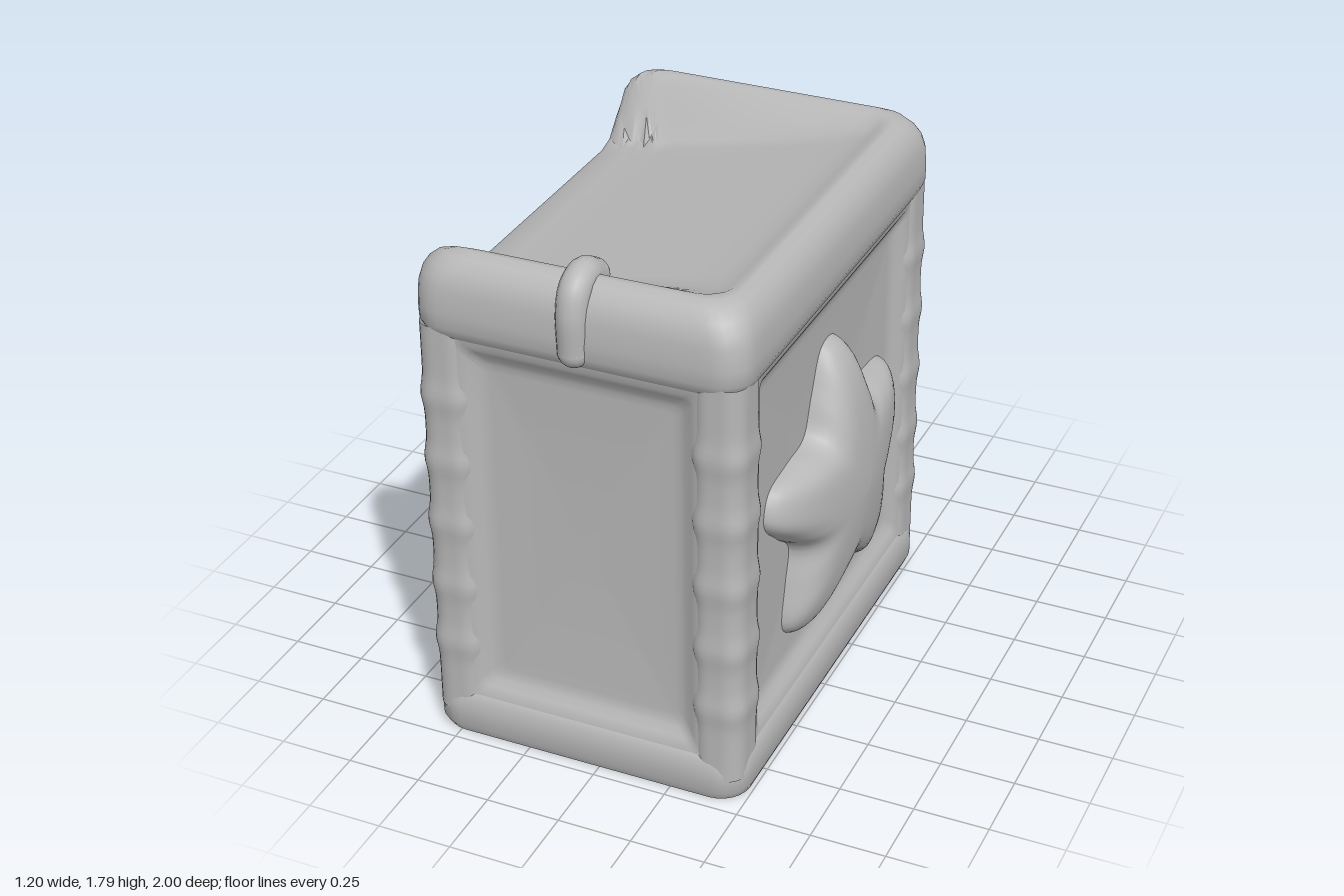
import * as THREE from 'three';
import { toCreasedNormals } from 'three/addons/utils/BufferGeometryUtils.js';

const CX = -0.05, CZ = 0.16, HX = 0.55, HZ = 0.81; // centre and half size of the box

// Rounded rectangles [y, halfX, halfZ, cornerRadius] skinned from bottom to top
function loft(cx, cz, rings, edgeSteps, rule) {
  const pos = [], idx = [];
  let n = 0;
  for (const [y, hx, hz, radius] of rings) {
    const r = Math.min(radius, hx, hz), loop = [];
    for (let q = 0; q < 4; q++) {
      const sx = q === 0 || q === 3 ? 1 : -1, sz = q < 2 ? 1 : -1;
      for (let k = 0; k <= 6; k++) {
        const a = (q + k / 6) * Math.PI / 2;
        loop.push([cx + sx * (hx - r) + r * Math.cos(a), cz + sz * (hz - r) + r * Math.sin(a)]);
      }
      // straight run to the next corner
      const last = loop[loop.length - 1];
      const next = q % 2 === 0 ? [cx - sx * (hx - r), last[1]] : [last[0], cz - sz * (hz - r)];
      for (let k = 1; k < edgeSteps; k++) {
        const t = k / edgeSteps;
        loop.push([last[0] + (next[0] - last[0]) * t, last[1] + (next[1] - last[1]) * t]);
      }
    }
    n = loop.length;
    for (const [x, z] of loop) pos.push(x, rule ? rule(x, y, z) : y, z);
  }
  for (let j = 0; j < rings.length - 1; j++) {
    for (let i = 0; i < n; i++) {
      const a = j * n + i, b = j * n + (i + 1) % n;
      idx.push(a, a + n, b, b, a + n, b + n);
    }
  }
  const g = new THREE.BufferGeometry();
  g.setAttribute('position', new THREE.Float32BufferAttribute(pos, 3));
  g.setIndex(idx);
  return toCreasedNormals(g, 0.85);
}

const inset = (y, d) => [y, HX - d, HZ - d, 0.1];
const scaled = (y, k) => [y, 0.42 * k, 0.68 * k, 0.06 * k];

// Sunk panel with a soft sloping border, facing up before it is turned
const dish = (hx, hz) => loft(0, 0, [
  ...[[-0.018, 0], [-0.022, 0.03], [-0.034, 0.05], [-0.05, 0.075], [-0.058, 0.095], [-0.06, 0.12]]
    .map(([y, d]) => [y, hx - d, hz - d, 0.03]),
  [-0.06, 0, 0, 0],
], 8);

// Lid: sinks towards the open left edge, full height at the front and back bands
function lidRule(x, y, z) {
  if (y < 1.48) return y;
  const t = THREE.MathUtils.clamp((0.42 - x) / 1.02, 0, 1) ** 0.9;
  const w = THREE.MathUtils.smoothstep(Math.min(0.97 - z, z + 0.65), 0.09, 0.26);
  return 1.48 + (y - 1.48) * (1 - 0.88 * t * w);
}

// Puffy five-pointed star lying on the +x panel
function starGeometry() {
  const outline = [];
  for (let i = 0; i < 5; i++) {
    const a = Math.PI / 2 + i * Math.PI * 2 / 5;
    for (const [da, r] of [[-0.1, 0.51], [0.1, 0.51], [0.33, 0.39], [Math.PI / 5, 0.31], [0.93, 0.39]]) {
      outline.push(new THREE.Vector3(0, r * Math.sin(a + da), -r * Math.cos(a + da) * 1.02));
    }
  }
  const pts = new THREE.CatmullRomCurve3(outline, true).getPoints(120).slice(0, 120);
  const n = pts.length, rows = 14, pos = [], idx = [];
  for (let j = 0; j <= rows; j++) {
    const s = Math.sin(j / rows * Math.PI / 2);
    for (const p of pts) {
      const r = p.length() * s;
      const top = 0.6 - 0.23 * Math.pow(r, 1.6);
      const h = (top - 0.43) * Math.sqrt(Math.max(0, 1 - Math.pow(s, 7)));
      pos.push(0.43 + h, 0.75 + p.y * s, 0.15 + p.z * s);
    }
  }
  for (let j = 0; j < rows; j++) {
    for (let i = 0; i < n; i++) {
      const a = j * n + i, b = j * n + (i + 1) % n;
      idx.push(a, a + n, b, b, a + n, b + n);
    }
  }
  const g = new THREE.BufferGeometry();
  g.setAttribute('position', new THREE.Float32BufferAttribute(pos, 3));
  g.setIndex(idx);
  g.computeVertexNormals();
  return g;
}

const path = (...p) => new THREE.CatmullRomCurve3(p.map(v => new THREE.Vector3(...v)));
const lathe = (...p) => new THREE.LatheGeometry(
  new THREE.SplineCurve(p.map(v => new THREE.Vector2(...v))).getPoints(28)
    .map(v => new THREE.Vector2(Math.max(0, v.x), v.y)), 32);

export function createModel() {
  const model = new THREE.Group();
  model.name = 'crankBox';
  const grey = new THREE.MeshStandardMaterial({ color: 0xb8b8b8, side: THREE.DoubleSide });
  grey.name = 'grey';
  function add(name, geometry, x = 0, y = 0, z = 0) {
    const m = new THREE.Mesh(geometry, grey);
    m.name = name;
    m.position.set(x, y, z);
    model.add(m);
    return m;
  }

  // Sunk panels on all four sides
  for (const s of [1, -1]) {
    add(s > 0 ? 'frontPanel' : 'backPanel', dish(0.42, 0.67), CX, 0.81, CZ + s * HZ).rotation.x = s * Math.PI / 2;
    add(s > 0 ? 'rightPanel' : 'leftPanel', dish(0.67, 0.66), CX + s * HX, 0.81, CZ).rotation.z = -s * Math.PI / 2;
  }

  // Bottom rim
  add('baseRim', loft(CX, CZ, [
    [0, 0, 0, 0], inset(0, 0.015), inset(0.03, 0.002), inset(0.1, 0.002), inset(0.135, 0.01),
    inset(0.16, 0.023), inset(0.175, 0.045), inset(0.185, 0.09),
  ], 8));

  // Corner posts with a row of soft studs
  const postRings = [];
  for (let i = 0; i <= 60; i++) {
    const y = 0.08 + 1.42 * i / 60;
    let bump = 0;
    for (const s of [0.34, 0.56, 0.79, 1.02, 1.25]) bump += Math.exp(-(((y - s) / 0.045) ** 2));
    const h = 0.084 + 0.007 * bump;
    postRings.push([y, h, h + 0.01, 0.06]);
  }
  for (const sx of [-1, 1]) {
    for (const sz of [-1, 1]) {
      add('cornerPost', loft(CX + sx * 0.455, CZ + sz * 0.706, postRings, 4));
    }
  }

  // Upper band and sagging lid in one skin
  add('lid', loft(CX, CZ, [
    inset(1.43, 0.1), inset(1.445, 0.05), inset(1.46, 0.028), inset(1.48, 0.012), inset(1.51, 0.001),
    inset(1.56, 0), inset(1.63, 0.004), inset(1.67, 0.014), inset(1.7, 0.03), inset(1.73, 0.056),
    inset(1.745, 0.085), inset(1.748, 0.108), scaled(1.742, 1), scaled(1.737, 0.92), scaled(1.735, 0.83),
    scaled(1.735, 0.74), scaled(1.735, 0.62), scaled(1.735, 0.45), scaled(1.735, 0.25), scaled(1.735, 0),
  ], 24, lidRule));

  // Clasp running over the front edge
  const clasp = [[-0.05, 1.52, 0.945], [-0.05, 1.65, 0.948], [-0.05, 1.715, 0.925], [-0.05, 1.738, 0.87], [-0.05, 1.71, 0.81]];
  add('clasp', new THREE.TubeGeometry(path(...clasp), 30, 0.052, 16));
  for (const p of [clasp[0], clasp[4]]) add('claspEnd', new THREE.SphereGeometry(0.052, 20, 14), ...p);

  add('star', starGeometry());

  // Crank: flared mount, bent rod and teardrop knob
  const mount = add('crankMount', lathe([0.13, 0], [0.09, 0.018], [0.05, 0.045], [0.025, 0.065], [0, 0.07]), 0.07, 0.78, -0.592);
  mount.rotation.x = -Math.PI / 2;
  add('crankRod', new THREE.TubeGeometry(path(
    [0.07, 0.785, -0.6], [0.07, 0.78, -0.67], [0.07, 0.75, -0.72], [0.075, 0.65, -0.73],
    [0.075, 0.5, -0.73], [0.055, 0.45, -0.73], [-0.01, 0.44, -0.715], [-0.05, 0.44, -0.73],
  ), 48, 0.016, 12));
  const knob = add('crankKnob', lathe([0, -0.117], [0.062, -0.1], [0.107, -0.05], [0.118, 0], [0.105, 0.052],
    [0.075, 0.105], [0.045, 0.15], [0.025, 0.18], [0, 0.188]), -0.07, 0.445, -0.883);
  knob.quaternion.setFromUnitVectors(new THREE.Vector3(0, 1, 0), new THREE.Vector3(0.2, -0.03, 1).normalize());

  return model;
}
